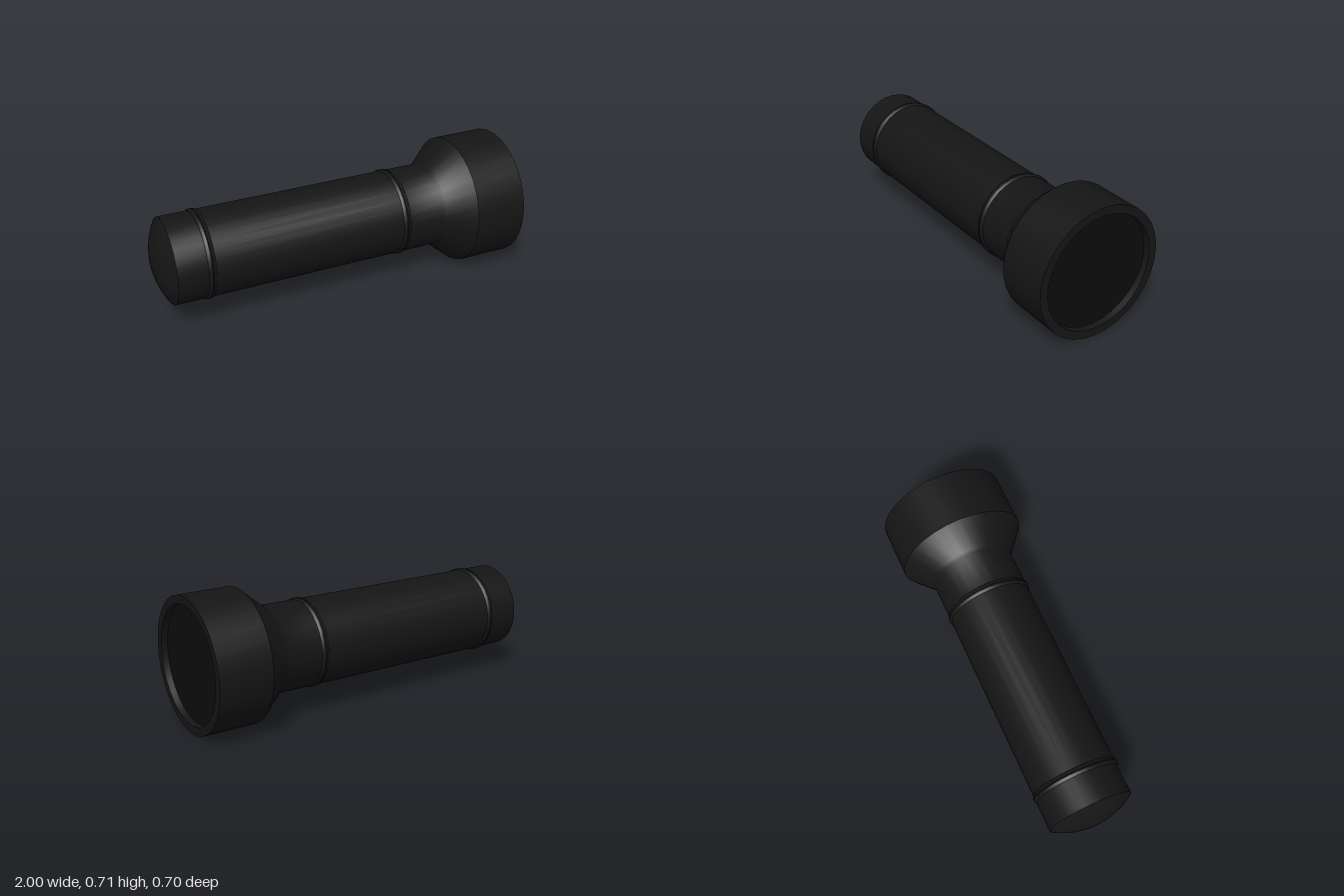
import * as THREE from 'three';
import { toCreasedNormals } from 'three/addons/utils/BufferGeometryUtils.js';

const SIDES = 30;
const AXIS_Y = 0.353;
const R_BODY = 0.231;
const R_HEAD = 0.353;

const casing = new THREE.MeshStandardMaterial({ color: 0x151515 });
const glass = new THREE.MeshStandardMaterial({ color: 0x0c0c0c });

// Turned part: [x, radius] pairs from tail to front, spun about the x axis
function turned(name, profile, material = casing) {
  const points = profile.map(([x, r]) => new THREE.Vector2(r, x));
  const lathe = new THREE.LatheGeometry(points, SIDES, Math.PI / 2);
  lathe.rotateZ(-Math.PI / 2);
  const mesh = new THREE.Mesh(toCreasedNormals(lathe, 0.6), material);
  mesh.name = name;
  mesh.position.y = AXIS_Y;
  return mesh;
}

export function createModel() {
  const group = new THREE.Group();
  group.name = 'flashlight';

  // Tail cap with a shallow domed end
  const dome = [];
  const domeRadius = 0.415;
  const domeAngle = Math.asin(R_BODY / domeRadius);
  for (let i = 0; i <= 6; i++) {
    const a = (domeAngle * i) / 6;
    dome.push([-1 + domeRadius * (1 - Math.cos(a)), domeRadius * Math.sin(a)]);
  }
  group.add(turned('tailCap', [...dome, [-0.745, R_BODY]]));

  // Barrel
  group.add(turned('barrel', [[-0.745, R_BODY], [0.345, R_BODY]]));

  // Low rounded rings with a fine groove over the two joints
  for (const [name, x] of [['tailRing', -0.75], ['neckRing', 0.345]]) {
    group.add(turned(name, [
      [x - 0.022, R_BODY - 0.001], [x - 0.014, 0.237], [x - 0.003, 0.239],
      [x, 0.234],
      [x + 0.003, 0.239], [x + 0.014, 0.237], [x + 0.022, R_BODY - 0.001],
    ]));
  }

  // Neck, flared head, front rim and the recess behind it
  group.add(turned('head', [
    [0.345, R_BODY], [0.56, R_BODY], [0.58, 0.241], [0.713, R_HEAD],
    [1, R_HEAD], [1, 0.309], [0.965, 0.306],
  ]));

  // Lens set back inside the rim
  group.add(turned('lens', [[0.967, 0.308], [0.967, 0]], glass));

  return group;
}
